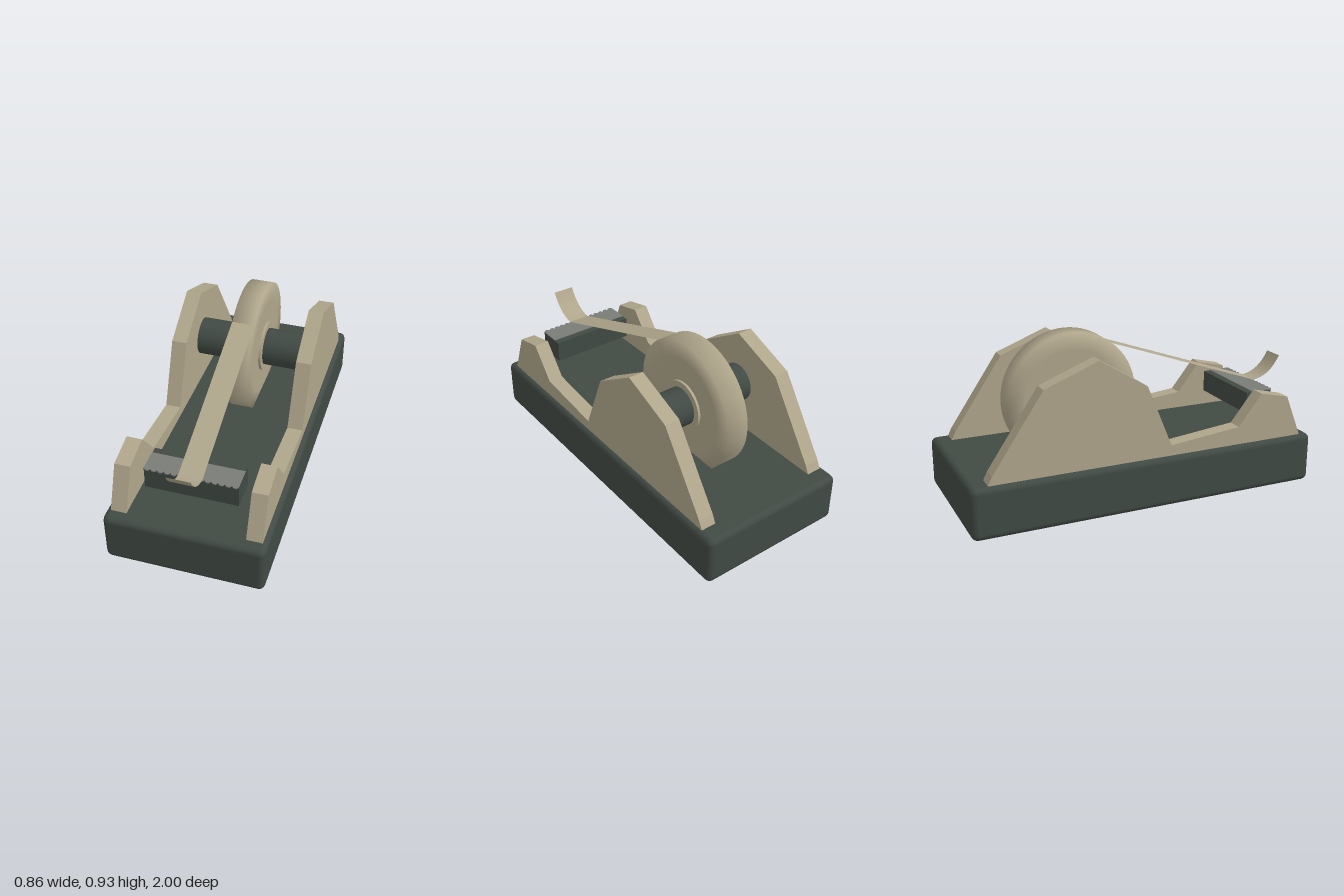
import * as THREE from 'three';
import { RoundedBoxGeometry } from 'three/addons/geometries/RoundedBoxGeometry.js';

const dark = new THREE.MeshStandardMaterial({ color: 0x414a44 });
dark.name = 'darkGreenGrey';
const beige = new THREE.MeshStandardMaterial({ color: 0xb0a68c, side: THREE.DoubleSide });
beige.name = 'beige';
const steel = new THREE.MeshStandardMaterial({ color: 0x7a7c77 });
steel.name = 'steelGrey';

const AXLE_Y = 0.56, AXLE_Z = -0.315;

export function createModel() {
  const model = new THREE.Group();
  model.name = 'tapeDispenser';

  const add = (name, geometry, material, x = 0, y = 0, z = 0) => {
    const mesh = new THREE.Mesh(geometry, material);
    mesh.name = name;
    mesh.position.set(x, y, z);
    model.add(mesh);
    return mesh;
  };

  // Heavy base with softened edges
  add('base', new RoundedBoxGeometry(0.855, 0.285, 2, 2, 0.035), dark, 0, 0.1425, 0);

  // Side walls: profile in (z, y), extruded across x
  const profile = [
    [0.94, 0.27], [0.84, 0.52], [0.67, 0.56], [0.53, 0.385], [0.115, 0.342],
    [-0.03, 0.69], [-0.3, 0.858], [-0.6, 0.742], [-0.88, 0.33], [-0.91, 0.27],
  ];
  const wallShape = new THREE.Shape(profile.map(([z, y]) => new THREE.Vector2(-z, y)));
  const wall = new THREE.ExtrudeGeometry(wallShape, { depth: 0.085, bevelEnabled: false });
  wall.translate(0, 0, -0.0425).rotateY(Math.PI / 2);
  add('leftWall', wall, beige, 0.3575);
  add('rightWall', wall, beige, -0.3575);

  // Axle between the walls
  const axle = new THREE.CylinderGeometry(0.107, 0.107, 0.64, 40).rotateZ(Math.PI / 2);
  add('axle', axle, dark, 0, AXLE_Y, AXLE_Z);

  // Tape roll, smoothly shaded over its rim
  const rollProfile = [
    [0.1, -0.063], [0.27, -0.063], [0.37, -0.063],
    [0.37, 0.063], [0.27, 0.063], [0.1, 0.063],
  ].map(([r, y]) => new THREE.Vector2(r, y));
  const roll = new THREE.LatheGeometry(rollProfile, 64).rotateZ(Math.PI / 2);
  add('tapeRoll', roll, beige, 0, AXLE_Y, AXLE_Z);

  // Core of the roll
  const hub = new THREE.CylinderGeometry(0.142, 0.142, 0.154, 40).rotateZ(Math.PI / 2);
  add('rollCore', hub, beige, 0, AXLE_Y, AXLE_Z);

  // Cutter block
  add('cutterBlock', new THREE.BoxGeometry(0.494, 0.123, 0.16), dark, 0, 0.4585, 0.75);

  // Toothed blade lying on the block
  const blade = new THREE.Shape();
  const teeth = 14, half = 0.247, step = (2 * half) / teeth;
  blade.moveTo(-half, -0.71);
  for (let i = 0; i < teeth; i++) {
    const x = -half + i * step;
    blade.lineTo(x, -0.828);
    blade.lineTo(x + step * 0.3, -0.841);
    blade.lineTo(x + step * 0.7, -0.841);
  }
  blade.lineTo(half, -0.828);
  blade.lineTo(half, -0.71);
  const bladeGeometry = new THREE.ExtrudeGeometry(blade, { depth: 0.006, bevelEnabled: false });
  bladeGeometry.rotateX(-Math.PI / 2);
  add('cutterBlade', bladeGeometry, steel, 0, 0.518, 0);

  // Loose tape: straight run to the cutter, then a curled-up tail
  const ribbon = (points) => {
    const geometry = new THREE.PlaneGeometry(0.126, 1, 1, points.length - 1);
    const position = geometry.attributes.position;
    points.forEach(([z, y], row) => {
      for (let k = 0; k < 2; k++) {
        const i = row * 2 + k;
        position.setXYZ(i, position.getX(i), y, z);
      }
    });
    geometry.computeVertexNormals();
    return geometry;
  };
  add('tapeStrip', ribbon([[-0.095, 0.852], [0.83, 0.53]]), beige);

  const curl = new THREE.QuadraticBezierCurve(
    new THREE.Vector2(0.83, 0.53), new THREE.Vector2(0.94, 0.54), new THREE.Vector2(1, 0.66));
  add('tapeTail', ribbon(curl.getPoints(8).map((p) => [p.x, p.y])), beige);

  return model;
}
